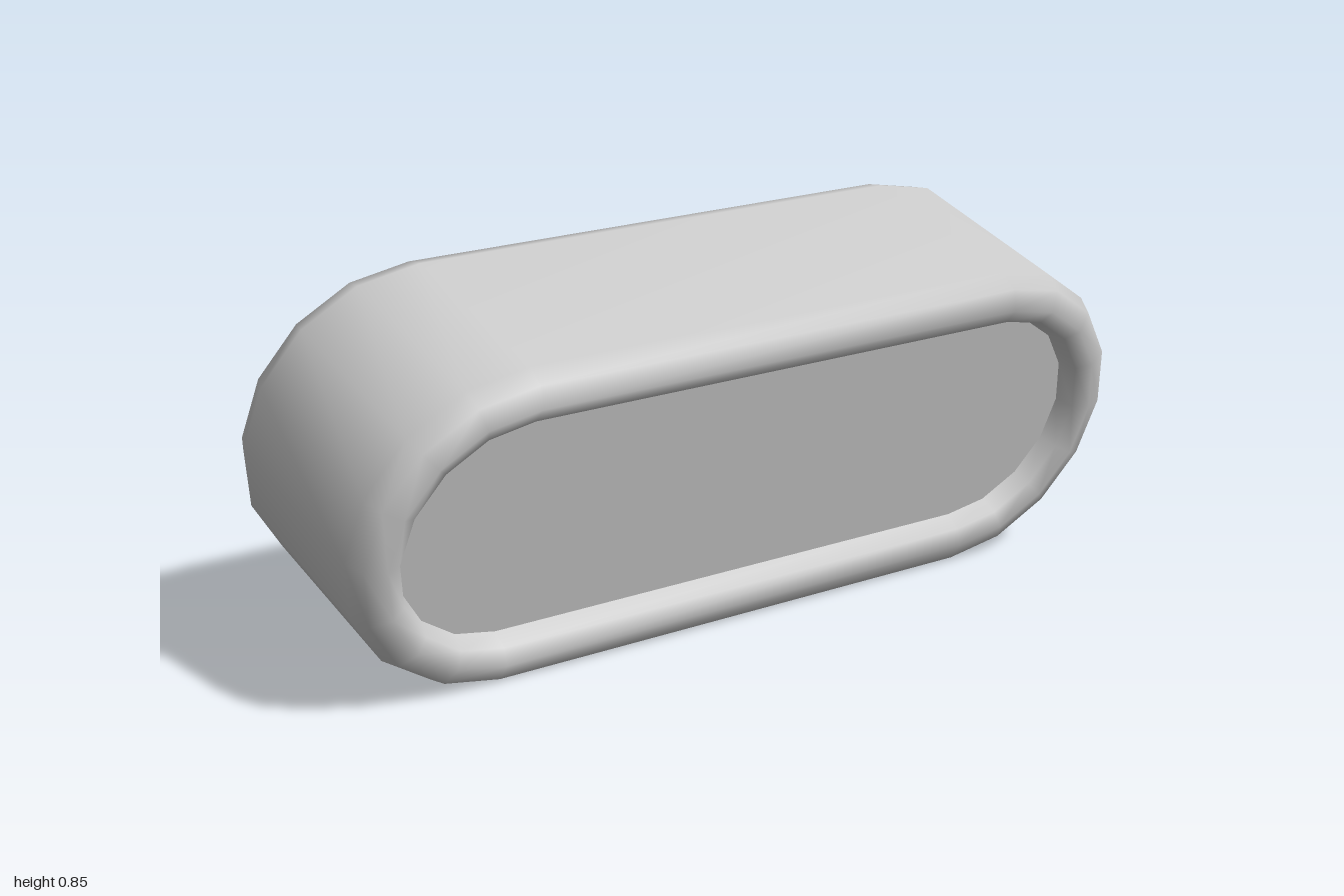
import * as THREE from 'three';

const HALF_STRAIGHT = 0.62; // centres of the round ends along z
const ARC_STEPS = 8;        // facets per round end
const TILT = THREE.MathUtils.degToRad(15);

// Stadium-shaped loop of radius r, lying across the x axis at x
function stadium(x, r) {
  const points = [];
  for (const side of [1, -1]) {
    for (let k = 0; k <= ARC_STEPS; k++) {
      const a = (k / ARC_STEPS) * Math.PI;
      points.push([x, side * r * Math.cos(a), side * (HALF_STRAIGHT + r * Math.sin(a))]);
    }
  }
  return points;
}

function toGeometry(points, index) {
  const geometry = new THREE.BufferGeometry();
  geometry.setAttribute('position', new THREE.Float32BufferAttribute(points.flat(), 3));
  geometry.setIndex(index);
  geometry.computeVertexNormals();
  return geometry;
}

// Skin over a series of stadium loops given as [x, radius]
function shell(profile) {
  const n = 2 * (ARC_STEPS + 1);
  const index = [];
  for (let i = 0; i < profile.length - 1; i++) {
    for (let j = 0; j < n; j++) {
      const k = (j + 1) % n;
      const a = i * n + j, b = i * n + k;
      index.push(a, b, b + n, a, b + n, a + n);
    }
  }
  return toGeometry(profile.flatMap(([x, r]) => stadium(x, r)), index);
}

// Flat stadium facing +x (facing = 1) or -x (facing = -1)
function cap(x, r, facing) {
  const loop = stadium(x, r);
  const index = [];
  for (let j = 0; j < loop.length; j++) {
    const k = (j + 1) % loop.length;
    index.push(loop.length, facing > 0 ? j : k, facing > 0 ? k : j);
  }
  return toGeometry([...loop, [x, 0, 0]], index);
}

export function createModel() {
  const model = new THREE.Group();
  model.name = 'tiltedHousing';
  const material = new THREE.MeshStandardMaterial({ color: 0xcccccc });

  const add = (name, geometry) => {
    const mesh = new THREE.Mesh(geometry, material);
    mesh.name = name;
    housing.add(mesh);
  };

  const housing = new THREE.Group();
  housing.name = 'housing';
  housing.rotation.z = -TILT;
  housing.position.y = 0.427;
  model.add(housing);

  // Body with rounded edges, rolling over into the rim of the recess
  add('body', shell([
    [-0.29, 0.315], [-0.271, 0.361], [-0.225, 0.38],
    [0.225, 0.38], [0.271, 0.361], [0.29, 0.315],
    [0.272, 0.279], [0.23, 0.264],
  ]));

  // Closed flat side and the sunken panel inside the rim
  add('backPanel', cap(-0.29, 0.315, -1));
  add('recessedPanel', cap(0.23, 0.264, 1));

  return model;
}
